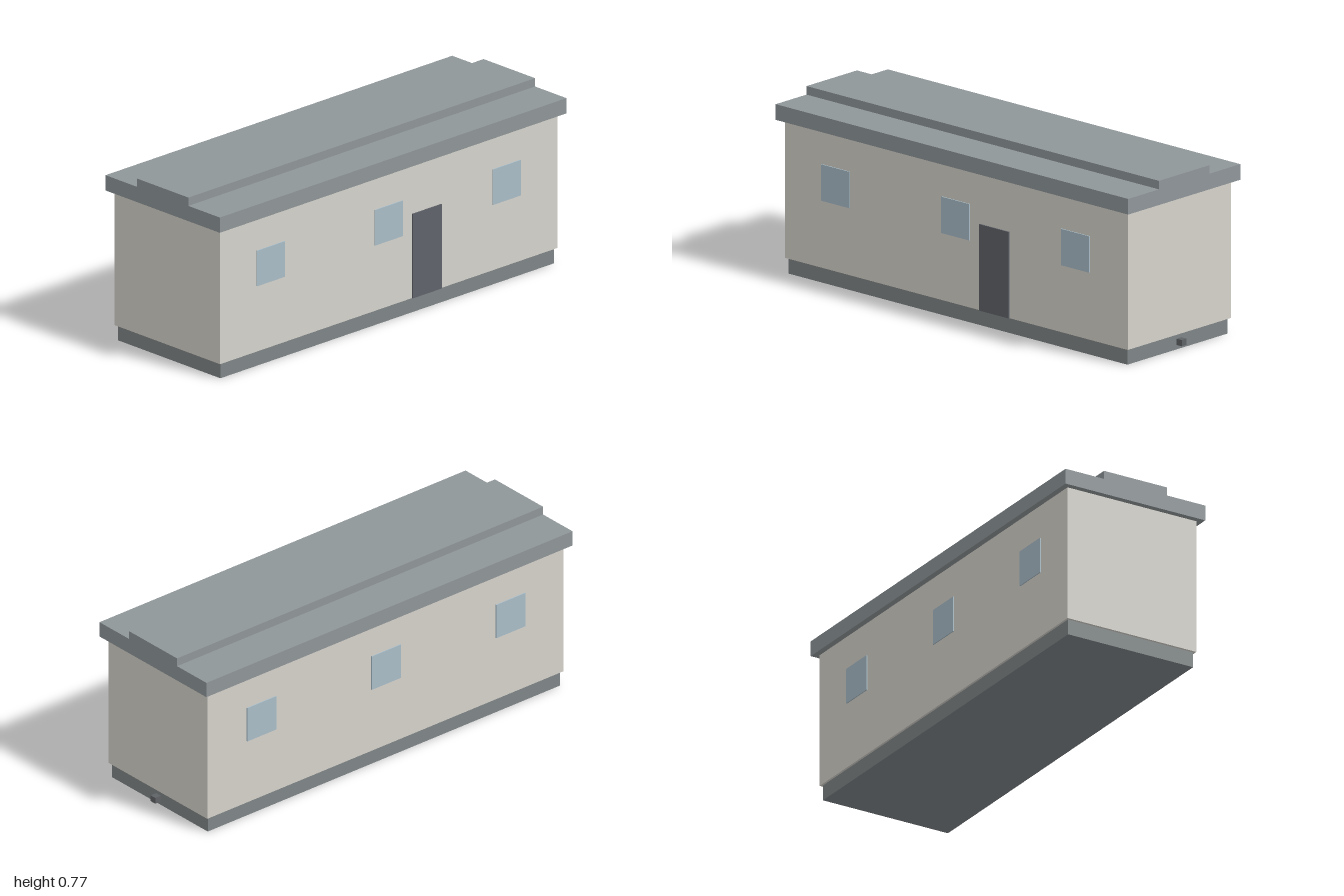
import * as THREE from 'three';

export function createModel() {
  const group = new THREE.Group();
  group.name = 'cabin';

  const mat = (color) => new THREE.MeshStandardMaterial({ color });
  const wallMat = mat(0xd6d3cc);
  const roofMat = mat(0x8f9699);
  const baseMat = mat(0x7f8587);
  const glassMat = mat(0xa9bdc8);
  const doorMat = mat(0x5f6269);
  const hitchMat = mat(0x5f6266);

  // Box from its minimum and maximum corner
  function box(name, min, max, material) {
    const size = max.map((v, i) => v - min[i]);
    const mesh = new THREE.Mesh(new THREE.BoxGeometry(...size), material);
    mesh.position.set(...max.map((v, i) => (v + min[i]) / 2));
    mesh.name = name;
    group.add(mesh);
    return mesh;
  }

  // Plinth, walls and two-step roof
  box('base', [-0.306, 0, -0.962], [0.306, 0.068, 0.962], baseMat);
  box('walls', [-0.3155, 0.068, -0.973], [0.3155, 0.667, 0.973], wallMat);
  box('roof', [-0.342, 0.667, -1], [0.342, 0.735, 1], roofMat);
  box('roofCap', [-0.154, 0.735, -1], [0.154, 0.772, 1], roofMat);

  // Three windows on each long side
  for (const side of [-1, 1]) {
    for (const z of [-0.678, 0.003, 0.683]) {
      const xs = [side * 0.31, side * 0.32].sort((a, b) => a - b);
      box(side > 0 ? 'leftWindow' : 'rightWindow',
        [xs[0], 0.36, z - 0.08], [xs[1], 0.518, z + 0.08], glassMat);
    }
  }

  // Door on the left side only
  box('door', [0.31, 0.068, -0.302], [0.321, 0.443, -0.134], doorMat);

  // Small coupling block at the back
  box('hitch', [-0.015, 0.023, -1], [0.015, 0.05, -0.97], hitchMat);

  return group;
}
